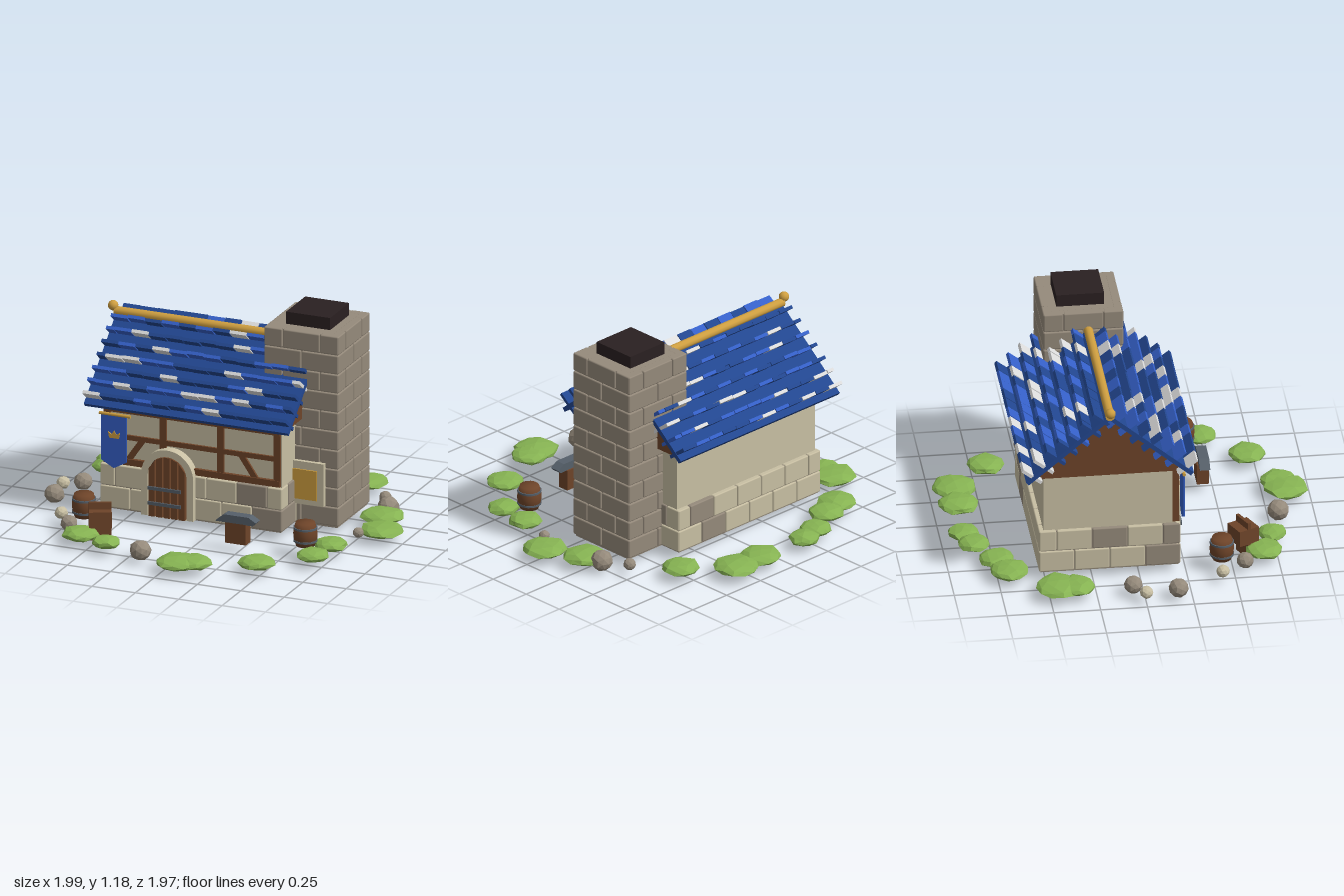
import * as THREE from 'three';
import { RoundedBoxGeometry } from 'three/addons/geometries/RoundedBoxGeometry.js';

const paint = (name, color) => Object.assign(new THREE.MeshStandardMaterial({ color }), { name });

export function createModel() {
  const white = paint('pale tile', 0xdcdcdc), royal = paint('royal blue', 0x3560c8), navy = paint('navy blue', 0x22468f);
  const gold = paint('gold', 0xcf9f40), wood = paint('wood', 0x6e4429), cream = paint('cream stone', 0xc8bfa3);
  const grey = paint('grey stone', 0x958a7b), iron = paint('iron', 0x56606a), soot = paint('soot', 0x2a2021);
  const green = paint('leaf green', 0x86b352);

  let seed = 11;
  const rand = () => (seed = (seed * 16807) % 2147483647) / 2147483647;

  const model = new THREE.Group();
  model.name = 'cottage';
  const group = (name, parent = model) => {
    const g = new THREE.Group();
    g.name = name;
    parent.add(g);
    return g;
  };
  const add = (name, geo, mat, x, y, z, parent = model) => {
    const m = new THREE.Mesh(geo, mat);
    m.name = name;
    m.position.set(x, y, z);
    parent.add(m);
    return m;
  };
  // box given by its minimum and maximum on each axis
  const span = (name, mat, x0, x1, y0, y1, z0, z1, parent) =>
    add(name, new THREE.BoxGeometry(x1 - x0, y1 - y0, z1 - z0), mat, (x0 + x1) / 2, (y0 + y1) / 2, (z0 + z1) / 2, parent);
  const extrude = (pts, depth) => new THREE.ExtrudeGeometry(
    new THREE.Shape(pts.map(p => new THREE.Vector2(...p))), { depth, bevelEnabled: false });

  // courses of bricks in running bond around a rectangle
  const brickwork = (name, x0, x1, z0, z1, y0, rowH, rows, size, pick) => {
    const g = group(name), t = 0.05, gap = 0.004;
    const course = (a, b, row, place) => {
      const n = Math.max(2, Math.round((b - a) / size)), w = (b - a) / n;
      const cuts = [a];
      for (let i = 1; i <= n; i++) cuts.push(a + w * (row % 2 ? i - 0.5 : i));
      if (row % 2) cuts.push(b);
      else cuts[n] = b;
      for (let i = 0; i + 1 < cuts.length; i++) place((cuts[i] + cuts[i + 1]) / 2, cuts[i + 1] - cuts[i] - gap);
    };
    for (let r = 0; r < rows; r++) {
      const y = y0 + rowH * (r + 0.5), h = rowH - gap;
      for (const z of [z0 + t / 2, z1 - t / 2])
        course(x0, x1, r, (c, w) => add('brick', new RoundedBoxGeometry(w, h, t, 1, 0.007), pick(), c, y, z, g));
      for (const x of [x0 + t / 2, x1 - t / 2])
        course(z0, z1, r, (c, w) => add('brick', new RoundedBoxGeometry(t, h, w, 1, 0.007), pick(), x, y, c, g));
    }
  };

  // stone footing and plastered walls
  span('footingCore', grey, -0.64, 0.39, 0.045, 0.29, -0.525, 0.21);
  brickwork('footing', -0.65, 0.4, -0.535, 0.22, 0.05, 0.123, 2, 0.17, () => (rand() < 0.68 ? cream : grey));
  span('walls', cream, -0.63, 0.39, 0.25, 0.64, -0.51, 0.195);

  // chimney
  span('chimneyCore', grey, 0.22, 0.63, 0.04, 1.117, -0.39, 0.01);
  brickwork('chimney', 0.21, 0.64, -0.405, 0.022, 0.05, 0.107, 10, 0.215, () => grey);
  span('chimneyCap', soot, 0.3, 0.553, 1.11, 1.185, -0.325, -0.07);

  // front timber frame
  const frame = group('timberFrame');
  span('topBeam', wood, -0.63, 0.385, 0.59, 0.625, 0.18, 0.215, frame);
  span('middleRail', wood, -0.63, 0.385, 0.44, 0.467, 0.18, 0.208, frame);
  span('bottomBeam', wood, -0.63, 0.385, 0.3, 0.335, 0.18, 0.215, frame);
  for (const x of [-0.613, -0.29, 0.042, 0.367]) span('post', wood, x - 0.018, x + 0.018, 0.3, 0.62, 0.18, 0.212, frame);
  for (const [x, s] of [[-0.45, -1], [0.2, 1]])
    add('brace', new THREE.BoxGeometry(0.032, 0.16, 0.024), wood, x, 0.388, 0.196, frame).rotation.z = s * 0.6;

  // arched door
  const door = group('door');
  const arch = (r, bottom) => {
    const s = new THREE.Shape();
    s.moveTo(r, bottom).lineTo(r, 0.28).absarc(0, 0.28, r, 0, Math.PI, false).lineTo(-r, bottom).closePath();
    return s;
  };
  const surround = arch(0.15, 0.05);
  surround.holes.push(new THREE.Path(arch(0.112, 0.051).getPoints(12)));
  add('archSurround', new THREE.ExtrudeGeometry(surround, { depth: 0.06, bevelEnabled: false, curveSegments: 12 }), cream, -0.248, 0, 0.19, door);
  add('doorBacking', new THREE.ExtrudeGeometry(arch(0.112, 0.05), { depth: 0.035, bevelEnabled: false }), soot, -0.248, 0, 0.19, door);
  for (let i = -2; i <= 2; i++) {
    const x = i * 0.043, w = 0.0175;
    const top = d => 0.28 + Math.sqrt(Math.max(0, 0.111 ** 2 - d * d));
    add('plank', extrude([[x - w, 0.05], [x + w, 0.05], [x + w, top(x + w)], [x - w, top(x - w)]], 0.035), wood, -0.248, 0, 0.222, door);
  }
  for (const y of [0.125, 0.21]) span('strap', iron, -0.355, -0.165, y - 0.009, y + 0.009, 0.25, 0.265, door);

  // chimney-side window
  const win = group('window');
  span('windowFrame', cream, 0.34, 0.565, 0.16, 0.4, 0, 0.045, win);
  span('windowPane', gold, 0.39, 0.528, 0.19, 0.357, 0.045, 0.053, win);

  // hanging banner with crown ornament
  const banner = group('banner');
  add('cloth', extrude([[-0.073, 0.58], [-0.073, 0.325], [0, 0.285], [0.073, 0.325], [0.073, 0.58]], 0.009), royal, -0.558, 0, 0.236, banner);
  add('crown', extrude([[-0.028, 0], [0.028, 0], [0.034, 0.035], [0.014, 0.02], [0, 0.042], [-0.014, 0.02], [-0.034, 0.035]], 0.005),
    gold, -0.555, 0.455, 0.245, banner);
  add('bannerRod', new THREE.CylinderGeometry(0.009, 0.009, 0.18, 8), gold, -0.553, 0.585, 0.24, banner).rotation.z = Math.PI / 2;

  // roof: gable core, slabs and upturned tile rows, mirrored about the ridge
  const roof = group('roof'), ridgeZ = -0.165;
  const gable = add('gable', extrude([[-0.41, 0], [0.41, 0], [0, 0.36]], 1.1), wood, -0.67, 0.63, ridgeZ, roof);
  gable.rotation.y = Math.PI / 2;
  for (const side of [1, -1]) {
    const slab = add('roofSlab', new THREE.BoxGeometry(1.175, 0.024, 0.575), navy, -0.127, 0.815, ridgeZ + side * 0.22, roof);
    slab.rotation.x = side * 0.7;
    for (let r = 0; r < 7; r++) {
      const w = 1.175 / 12;
      const cuts = [-0.715];
      for (let i = 1; i <= 12; i++) cuts.push(-0.715 + w * (r % 2 && i <= 12 ? i - 0.5 : i));
      if (r % 2) cuts.push(0.46);
      for (let i = 0; i + 1 < cuts.length; i++) {
        const k = rand(), mat = k < 0.25 ? white : k < 0.58 ? royal : navy;
        const tile = add('tile', new THREE.BoxGeometry(cuts[i + 1] - cuts[i] - 0.004, 0.018, 0.128), mat,
          (cuts[i] + cuts[i + 1]) / 2, 0.671 + 0.052 * r + (rand() - 0.5) * 0.006, ridgeZ + side * (0.415 - 0.0627 * r), roof);
        tile.rotation.x = -side * 0.66;
      }
    }
  }
  add('ridgePole', new THREE.CylinderGeometry(0.025, 0.025, 0.98, 10), gold, -0.235, 1.012, ridgeZ, roof).rotation.z = Math.PI / 2;
  add('finial', new THREE.SphereGeometry(0.028, 12, 8), gold, -0.738, 1.04, ridgeZ, roof);

  // barrels
  const staves = [[0, 0], [0.05, 0], [0.062, 0.035], [0.066, 0.065], [0.062, 0.095], [0.052, 0.13], [0, 0.13]]
    .map(p => new THREE.Vector2(...p));
  for (const [x, z] of [[-0.645, 0.44], [0.607, 0.385]]) {
    const b = group('barrel');
    b.position.set(x, 0.067, z);
    add('staves', new THREE.LatheGeometry(staves, 14), wood, 0, 0, 0, b);
    for (const y of [0.03, 0.1]) add('hoop', new THREE.CylinderGeometry(0.065, 0.065, 0.011, 14), iron, 0, y, 0, b);
  }

  // crate with an upright board through it
  const crate = group('crate');
  crate.position.set(-0.495, 0, 0.573);
  crate.rotation.y = 0.44;
  span('crateBox', wood, -0.06, 0.06, 0.085, 0.175, -0.06, 0.06, crate);
  span('uprightBoard', wood, -0.06, 0.06, 0, 0.213, -0.009, 0.009, crate);

  // anvil on its block
  const anvil = group('anvil');
  anvil.position.set(0.242, 0, 0.445);
  span('anvilBlock', wood, -0.06, 0.06, 0.05, 0.165, -0.035, 0.03, anvil);
  add('anvilTop', extrude([[-0.118, 0.165], [0.1, 0.163], [0.118, 0.182], [0.075, 0.208], [-0.065, 0.208]], 0.056), iron, 0, 0, -0.026, anvil);

  // faceted lumps with seeded wobble, used for bushes and rocks
  const lump = (name, mat, x, y, z, r, flat, wobble, parent) => {
    const geo = new THREE.IcosahedronGeometry(1, 1), p = geo.attributes.position, v = new THREE.Vector3();
    const phase = rand() * 6;
    for (let i = 0; i < p.count; i++) {
      v.fromBufferAttribute(p, i);
      v.multiplyScalar(1 + wobble * Math.sin(v.x * 5 + phase) * Math.cos(v.z * 4 + v.y * 3 + phase));
      p.setXYZ(i, v.x * r, v.y * flat, v.z * r);
    }
    geo.computeVertexNormals();
    add(name, geo, mat, x, y, z, parent).rotation.y = phase;
  };
  const bushes = group('bushes');
  for (const [x, z, r] of [[-0.82, -0.45, 0.125], [-0.83, -0.36, 0.1], [-0.62, -0.69, 0.105], [-0.485, -0.74, 0.095],
    [-0.31, -0.84, 0.085], [-0.19, -0.88, 0.085], [0.12, -0.87, 0.11], [0.3, -0.87, 0.122], [0.52, -0.675, 0.1],
    [0.79, -0.22, 0.118], [0.875, -0.01, 0.118], [0.72, 0.3, 0.09], [0.695, 0.49, 0.088], [0.47, 0.71, 0.1],
    [0.085, 0.87, 0.122], [0.16, 0.84, 0.1], [-0.565, 0.675, 0.1], [-0.39, 0.74, 0.077]])
    lump('bush', green, x, 0.06, z, r, 0.034, 0.09, bushes);
  const rocks = group('rocks');
  for (const [x, z, r, mat] of [[-0.865, -0.06, 0.05, grey], [-0.955, 0, 0.036, cream], [-0.93, 0.175, 0.054, grey],
    [-0.78, 0.43, 0.036, cream], [-0.68, 0.56, 0.046, grey], [-0.165, 0.8, 0.058, grey], [0.7, -0.47, 0.034, grey],
    [0.775, -0.335, 0.06, grey], [0.785, 0.09, 0.03, grey]])
    lump('rock', mat, x, 0.065, z, r, r * 0.95, 0.05, rocks);

  return model;
}
